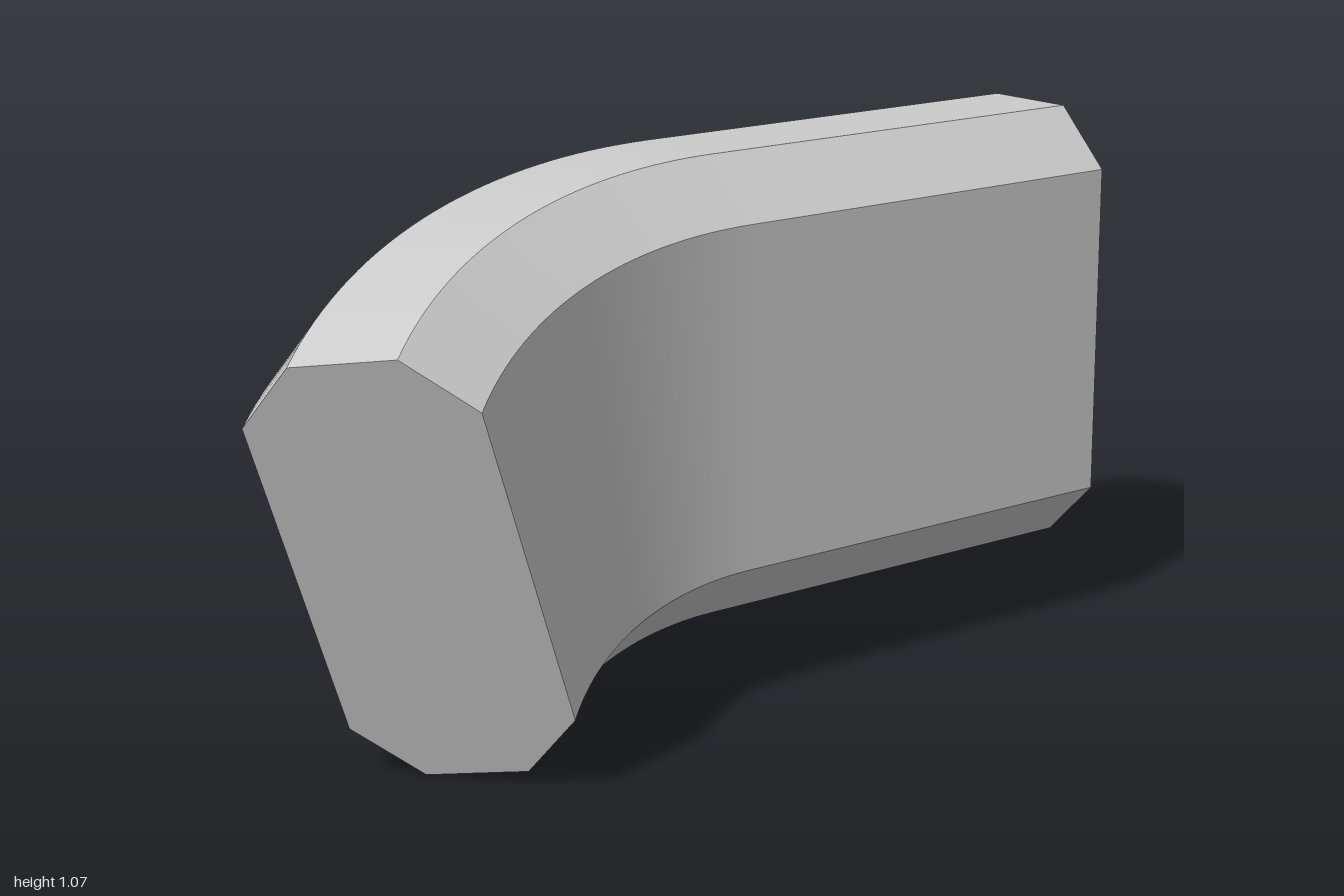
import * as THREE from 'three';
import { toCreasedNormals } from 'three/addons/utils/BufferGeometryUtils.js';

// Chamfered rectangle in (z, y), the cross-section of the rail
function chamferedRect(z0, z1, y0, y1, c) {
  return new THREE.Shape([
    [z1, y0 + c], [z1, y1 - c], [z1 - c, y1], [z0 + c, y1],
    [z0, y1 - c], [z0, y0 + c], [z0 + c, y0], [z1 - c, y0],
  ].map(([z, y]) => new THREE.Vector2(z, y)));
}

export function createModel() {
  const group = new THREE.Group();
  const section = chamferedRect(-0.363, 0.072, 0.152, 1.07, 0.118);
  const geometry = new THREE.ExtrudeGeometry(section, { depth: 2, steps: 64, bevelEnabled: false });

  // First half runs straight, second half turns 45 degrees forward and down about a tilted axis
  const startX = 1, bendX = 0.073, axis = 0.723, turn = Math.PI / 4;
  const tilt = THREE.MathUtils.degToRad(30.9);
  const dy = -Math.sin(tilt), dz = Math.cos(tilt);
  const pos = geometry.attributes.position;
  for (let i = 0; i < pos.count; i++) {
    const z = pos.getX(i), y = pos.getY(i), t = pos.getZ(i);
    const angle = Math.max(0, t - 1) * turn;
    const radius = axis - (y * dy + z * dz);
    const shift = radius * (1 - Math.cos(angle));
    const x = THREE.MathUtils.lerp(startX, bendX, Math.min(t, 1)) - radius * Math.sin(angle);
    pos.setXYZ(i, x, y + dy * shift, z + dz * shift);
  }

  const rail = new THREE.Mesh(
    toCreasedNormals(geometry, 0.4),
    new THREE.MeshStandardMaterial({ color: 0xcccccc }),
  );
  rail.name = 'bentRail';
  group.add(rail);
  return group;
}
